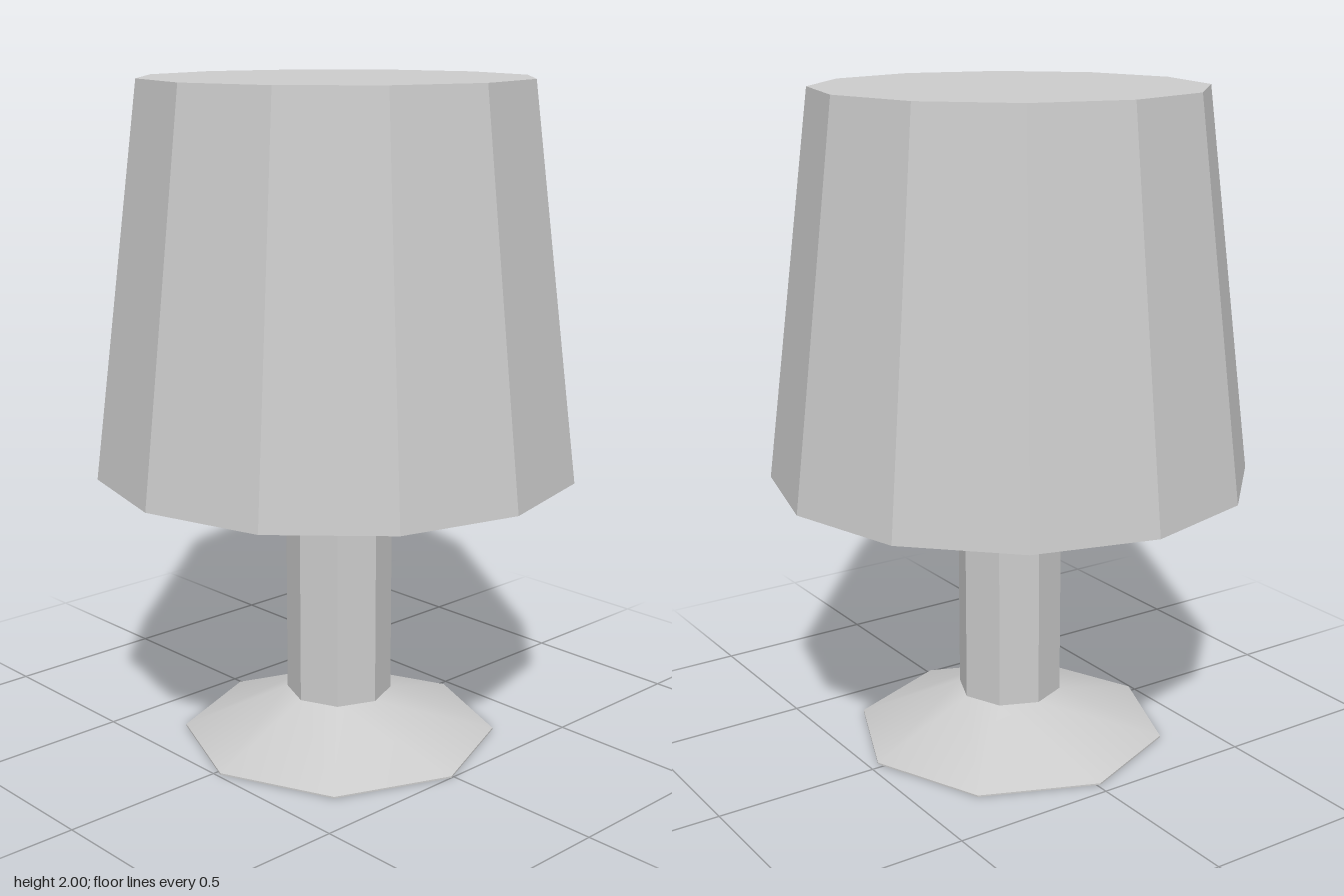
import * as THREE from 'three';
import { toCreasedNormals } from 'three/addons/utils/BufferGeometryUtils.js';

const material = new THREE.MeshStandardMaterial({ color: 0xcccccc });

// Faceted turned part: profile of [radius, height] pairs; edges sharper than crease stay hard
function turned(name, profile, sides, crease) {
  const points = profile.map(([r, y]) => new THREE.Vector2(r, y));
  const geometry = toCreasedNormals(new THREE.LatheGeometry(points, sides), crease);
  const mesh = new THREE.Mesh(geometry, material);
  mesh.name = name;
  return mesh;
}

export function createModel() {
  const lamp = new THREE.Group();
  lamp.name = 'tableLamp';

  // Shade: twelve flat outer panels, closed top, thick lower rim and a hollow inside
  const shade = new THREE.Group();
  shade.name = 'shade';
  shade.add(
    turned('shadeOuter', [[0.6, 0.85], [0.72, 0.85], [0.576, 2], [0, 2]], 12, 0.4),
    turned('shadeInner', [[0, 1.88], [0.48, 1.88], [0.6, 0.85]], 12, 0.6)
  );

  // Stand: eight-sided foot sloping up into a straight stem, set slightly off centre
  const stand = new THREE.Group();
  stand.name = 'stand';
  stand.add(
    turned('foot', [[0, 0], [0.48, 0], [0.48, 0.005], [0.16, 0.14]], 8, 0.4),
    turned('stem', [[0.16, 0.14], [0.16, 1.13], [0, 1.13]], 8, 0.4)
  );
  stand.position.set(0.02, 0, 0.01);

  lamp.add(shade, stand);
  return lamp;
}
